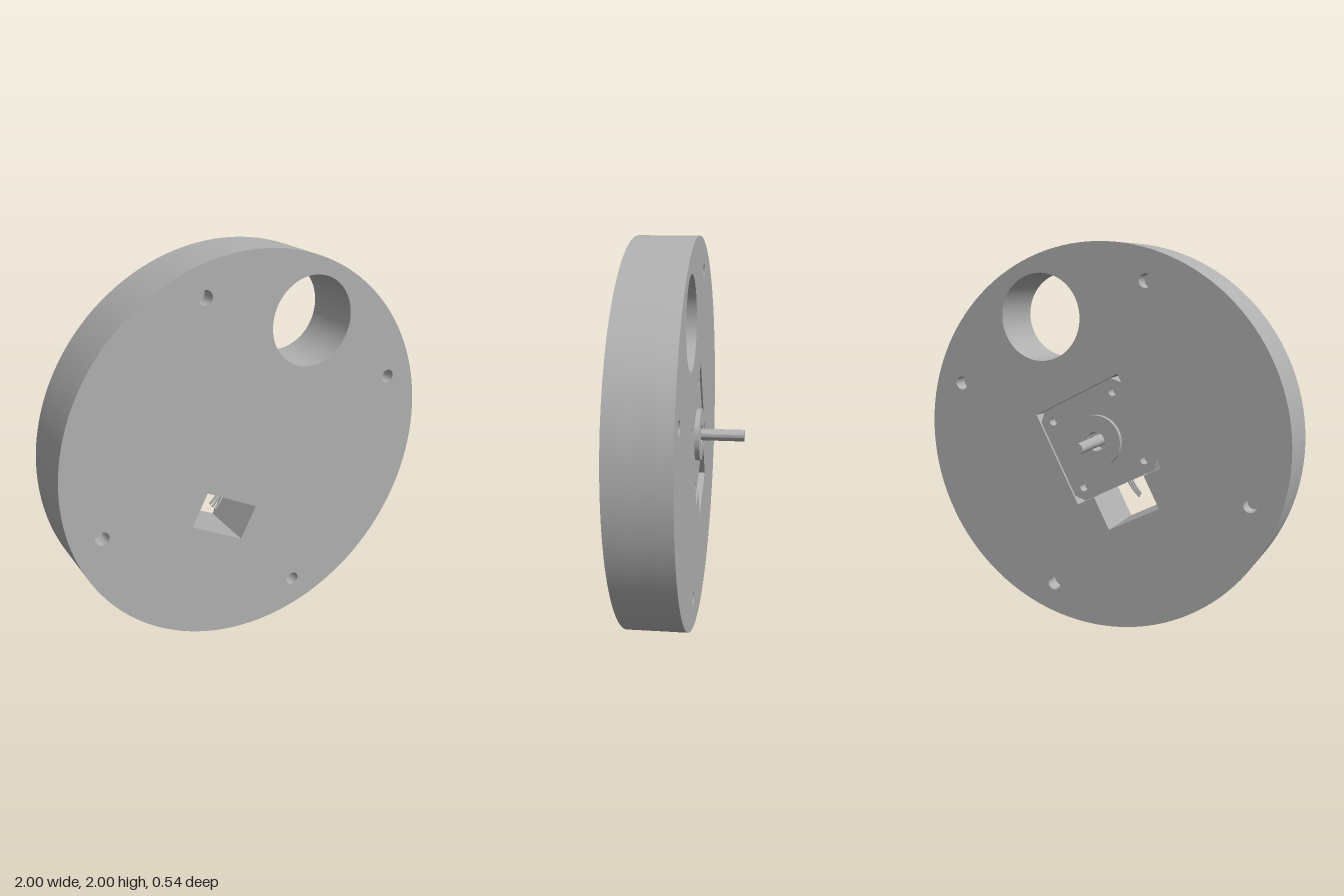
import * as THREE from 'three';
import { toCreasedNormals } from 'three/addons/utils/BufferGeometryUtils.js';

const TILT = -0.48; // rotation of the motor and its recess
const BACK = -0.035, FRONT = 0.27, FLOOR = 0.205, HOLE_DEPTH = 0.08;

export function createModel() {
  const model = new THREE.Group();
  const grey = new THREE.MeshStandardMaterial({ color: 0xb0b0b0 });
  grey.name = 'plain grey';

  const add = (parent, name, geometry) => {
    const mesh = new THREE.Mesh(geometry, grey);
    mesh.name = name;
    parent.add(mesh);
    return mesh;
  };
  const circle = (x, y, r, Type = THREE.Path) => new Type().absarc(x, y, r, 0, Math.PI * 2, false);
  const polygon = (points, Type = THREE.Path) => new Type(points.map(([x, y]) => new THREE.Vector2(x, y)));
  const tilted = (points) => points.map(([x, y]) => [
    x * Math.cos(TILT) - y * Math.sin(TILT), x * Math.sin(TILT) + y * Math.cos(TILT)]);
  const slab = (parent, name, shape, z0, z1, holes = [], segments = 64) => {
    shape.holes.push(...holes);
    const geometry = new THREE.ExtrudeGeometry(shape, { depth: z1 - z0, bevelEnabled: false, curveSegments: segments });
    geometry.translate(0, 0, z0);
    return add(parent, name, toCreasedNormals(geometry, 0.5));
  };

  // Disc body: three layers, so that the recess and screw holes stay blind
  const disc = new THREE.Group();
  disc.name = 'disc';
  disc.position.y = 1;
  model.add(disc);
  const screwSpots = [[-0.257, 0.81], [0.81, 0.257], [-0.81, -0.255], [0.255, -0.807]];
  const bigHole = () => circle(0.322, 0.622, 0.225);
  const screwHoles = () => screwSpots.map(([x, y]) => circle(x, y, 0.035));
  const slot = () => polygon(tilted([[-0.155, -0.445], [0.155, -0.445], [0.155, -0.26], [-0.155, -0.26]]));
  const recess = () => polygon(tilted([
    [-0.155, -0.445], [0.155, -0.445], [0.155, -0.26], [0.26, -0.26],
    [0.26, 0.26], [-0.26, 0.26], [-0.26, -0.26], [-0.155, -0.26]]));
  const rim = () => circle(0, 0, 1, THREE.Shape);
  slab(disc, 'backLayer', rim(), BACK, BACK + HOLE_DEPTH, [bigHole(), recess(), ...screwHoles()]);
  slab(disc, 'middleLayer', rim(), BACK + HOLE_DEPTH, FRONT - HOLE_DEPTH, [bigHole(), recess()]);
  slab(disc, 'recessFloorLayer', rim(), FLOOR, FRONT, [bigHole(), slot(), ...screwHoles()]);
  slab(disc, 'innerLayer', rim(), FRONT - HOLE_DEPTH, FLOOR, [bigHole(), recess(), ...screwHoles()]);

  // Motor sitting in the recess
  const motor = new THREE.Group();
  motor.name = 'motor';
  motor.position.y = 1;
  motor.rotation.z = TILT;
  model.add(motor);
  const octagon = (h, c) => polygon([
    [h - c, -h], [h, c - h], [h, h - c], [h - c, h],
    [c - h, h], [-h, h - c], [-h, c - h], [c - h, -h]], THREE.Shape);
  const face = -0.026;
  const mounts = [[1, 1], [-1, 1], [-1, -1], [1, -1]].map(([x, y]) => circle(x * 0.19, y * 0.19, 0.021));
  slab(motor, 'motorFace', octagon(0.257, 0.045), face, face + 0.06, [...mounts, circle(0, 0, 0.05)], 24);
  slab(motor, 'motorCase', octagon(0.257, 0.045), face + 0.06, FLOOR - 0.002);
  slab(motor, 'pilotRing', circle(0, 0, 0.134, THREE.Shape), -0.051, face, [circle(0, 0, 0.05)], 48);

  // Shaft with a flat along most of its length
  slab(motor, 'shaftBase', circle(0, 0, 0.03, THREE.Shape), -0.08, 0.04, [], 24);
  const a = Math.acos(0.8);
  const flatted = new THREE.Shape().absarc(0, 0, 0.03, Math.PI / 2 + a, Math.PI * 2.5 - a, false);
  flatted.closePath();
  slab(motor, 'shaftTip', flatted, -0.272, -0.08, [], 32);

  // Short wires entering the slot
  for (let i = -1; i <= 1; i++) {
    const path = new THREE.CatmullRomCurve3([
      new THREE.Vector3(0.012 + i * 0.014, -0.25, 0.15),
      new THREE.Vector3(0.008 + i * 0.014, -0.3, 0.15 + i * 0.006),
      new THREE.Vector3(-0.004 + i * 0.013, -0.35 - i * 0.008, 0.15 + i * 0.01)]);
    add(motor, 'wire', new THREE.TubeGeometry(path, 10, 0.006, 8));
    const end = add(motor, 'wireEnd', new THREE.SphereGeometry(0.006, 8, 6));
    end.position.copy(path.getPoint(1));
  }
  return model;
}
